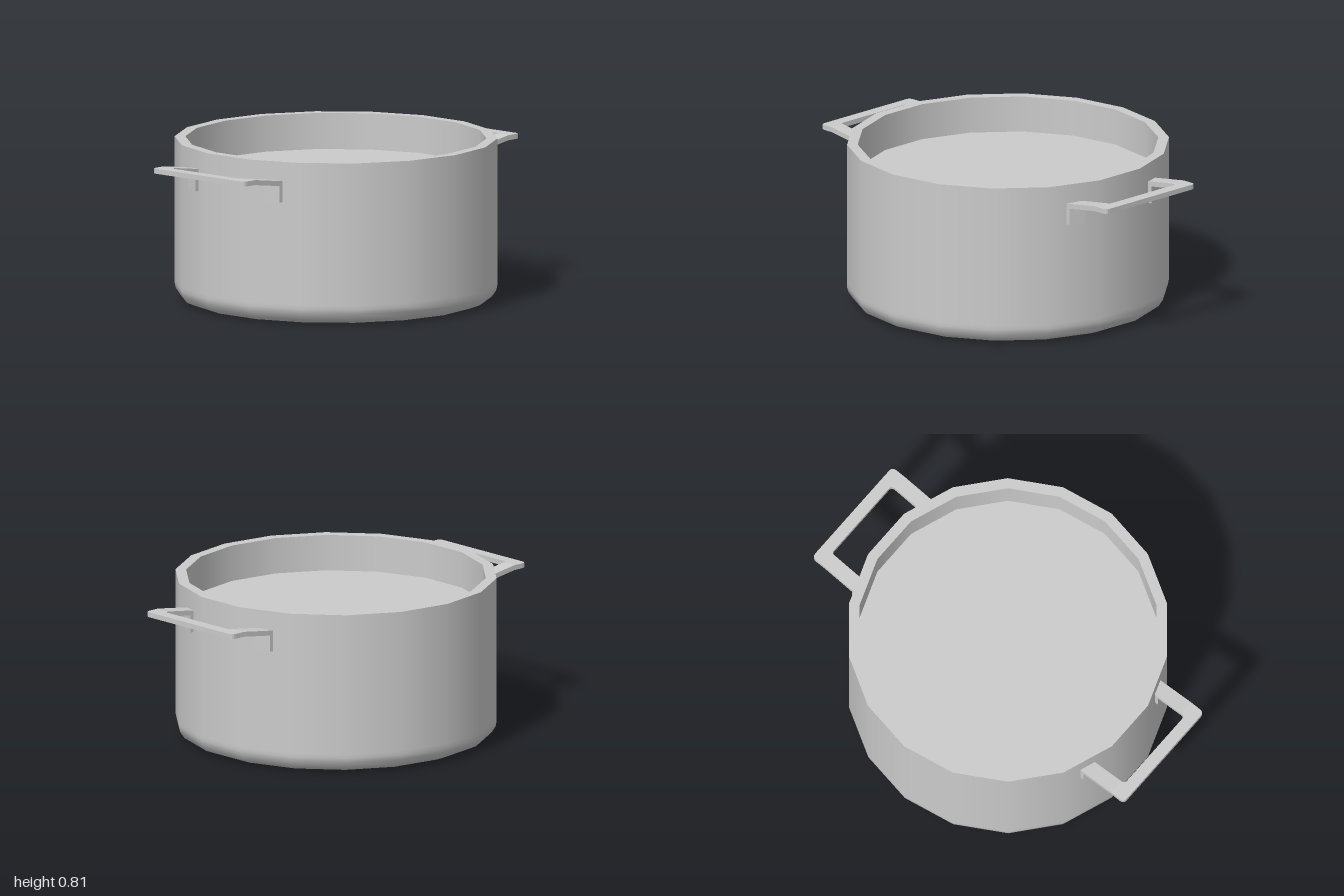
import * as THREE from 'three';

const SIDES = 18, R = 0.795, R_IN = 0.742, TOP = 0.81, FLOOR = 0.63;
const BEND = 0.92, Z_IN = 0.23, Z_OUT = 0.307;

const material = new THREE.MeshStandardMaterial({ color: 0xcccccc });

// x of the pot wall's facet behind the handle mounts
const wall = (z) => 0.783 - (Math.abs(z) - 0.138) * 0.366;

// height of the handle's top: sloping arms, level grip
const handleTop = (x) => 0.743 - Math.max(0, BEND - x) * 0.15;

function lathe(name, points) {
  const geometry = new THREE.LatheGeometry(points.map(([r, y]) => new THREE.Vector2(r, y)), SIDES);
  const mesh = new THREE.Mesh(geometry, material);
  mesh.name = name;
  return mesh;
}

// Plate with a plan outline (x, z), hanging down by depth from top(x)
function plate(name, shape, depth, top) {
  const geometry = new THREE.ExtrudeGeometry(shape, { depth, bevelEnabled: false, curveSegments: 4 });
  geometry.rotateX(Math.PI / 2);
  const p = geometry.attributes.position;
  for (let i = 0; i < p.count; i++) p.setY(i, p.getY(i) + top(p.getX(i)));
  geometry.computeVertexNormals();
  const mesh = new THREE.Mesh(geometry, material);
  mesh.name = name;
  return mesh;
}

const polygon = (points) => new THREE.Shape(points.map(([x, z]) => new THREE.Vector2(x, z)));

function createHandle() {
  const handle = new THREE.Group();

  // grip bar with rounded corners
  const c = 0.025, inner = 0.94;
  const s = new THREE.Shape();
  s.moveTo(BEND, -Z_OUT);
  s.lineTo(1 - c, -Z_OUT);
  s.quadraticCurveTo(1, -Z_OUT, 1, -Z_OUT + c);
  s.lineTo(1, Z_OUT - c);
  s.quadraticCurveTo(1, Z_OUT, 1 - c, Z_OUT);
  s.lineTo(BEND, Z_OUT);
  s.lineTo(BEND, Z_IN);
  s.quadraticCurveTo(inner, Z_IN, inner, Z_IN - 0.02);
  s.lineTo(inner, -Z_IN + 0.02);
  s.quadraticCurveTo(inner, -Z_IN, BEND, -Z_IN);
  handle.add(plate('grip', s, 0.025, handleTop));

  for (const side of [-1, 1]) {
    // sloping arm from the wall to the grip
    handle.add(plate('arm', polygon([
      [wall(Z_IN) - 0.01, side * Z_IN], [BEND, side * Z_IN],
      [BEND, side * Z_OUT], [wall(Z_OUT) - 0.01, side * Z_OUT],
    ]), 0.025, handleTop));

    // mounting tab lying against the wall
    handle.add(plate('mountingTab', polygon([
      [wall(Z_IN) - 0.01, side * Z_IN], [wall(Z_IN) + 0.022, side * Z_IN],
      [wall(Z_OUT) + 0.022, side * Z_OUT], [wall(Z_OUT) - 0.01, side * Z_OUT],
    ]), 0.1, () => 0.708));
  }
  return handle;
}

export function createModel() {
  const pot = new THREE.Group();
  pot.name = 'pot';

  // outer body, with a rounded lower edge
  pot.add(lathe('outerBody', [
    [0, 0], [0.69, 0], [0.72, 0.003], [0.768, 0.022], [0.79, 0.055], [R, 0.08], [R, 0.1], [R, TOP],
  ]));
  pot.add(lathe('rim', [[R, TOP], [R_IN, TOP]]));
  pot.add(lathe('innerWall', [[R_IN, TOP], [R_IN, FLOOR]]));
  pot.add(lathe('innerSurface', [[R_IN, FLOOR], [0, FLOOR]]));

  // a handle on each side
  ['leftHandle', 'rightHandle'].forEach((name, i) => {
    const handle = createHandle();
    handle.name = name;
    handle.rotation.y = i * Math.PI;
    pot.add(handle);
  });
  return pot;
}
